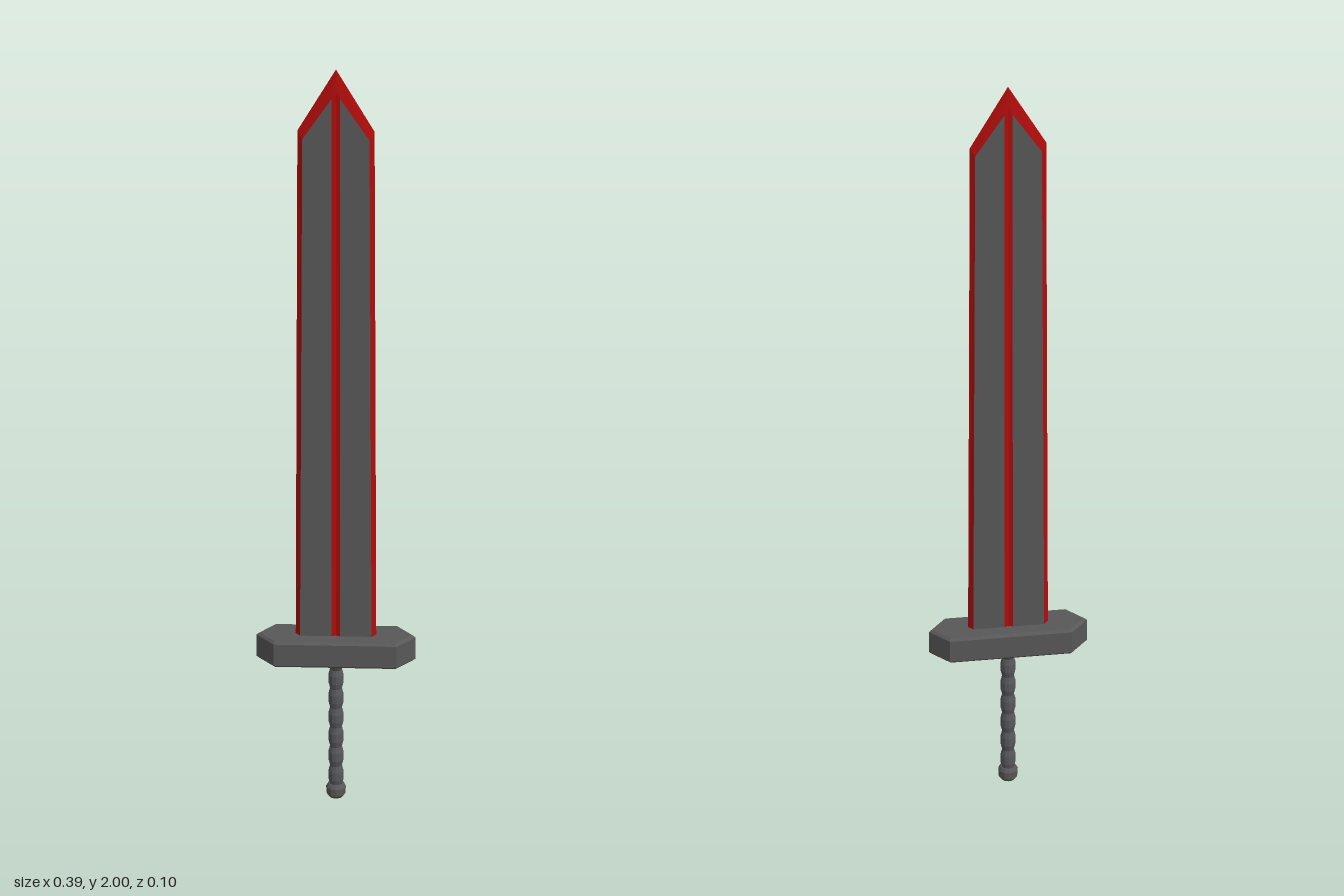
import * as THREE from 'three';

const steel = new THREE.MeshStandardMaterial({ color: 0x585858, flatShading: true });
const red = new THREE.MeshStandardMaterial({ color: 0xb00c0c, flatShading: true });

function part(name, geometry, material) {
  const mesh = new THREE.Mesh(geometry, material);
  mesh.name = name;
  return mesh;
}

// Mirrors the polygons of one blade quarter (+x, +z) into all four quarters
function mirrored(polygons) {
  const pos = [];
  for (const sx of [1, -1]) for (const sz of [1, -1]) {
    for (const poly of polygons) {
      const p = poly.map(([x, y, z]) => [x * sx, y, z * sz]);
      if (sx * sz < 0) p.reverse();
      for (let i = 1; i < p.length - 1; i++) pos.push(...p[0], ...p[i], ...p[i + 1]);
    }
  }
  const g = new THREE.BufferGeometry();
  g.setAttribute('position', new THREE.Float32BufferAttribute(pos, 3));
  g.computeVertexNormals();
  return g;
}

// Faceted turned shape from [radius, height] pairs
function turned(profile, sides) {
  return new THREE.LatheGeometry(profile.map(([r, y]) => new THREE.Vector2(r, y)), sides);
}

function createBlade() {
  const base = 0.43;
  const groove0 = [0, base, 0.009], groove1 = [0, 1.94, 0.007];
  const rim0 = [0.01, base, 0.013], rim1 = [0.01, 1.924, 0.009];
  const face0 = [0.087, base, 0.013], face1 = [0.082, 1.81, 0.009];
  const edge0 = [0.098, base, 0], edge1 = [0.094, 1.83, 0];
  const tip = [0, 2, 0];

  const blade = new THREE.Group();
  blade.name = 'blade';
  blade.add(
    part('bladeFaces', mirrored([[rim0, face0, face1, rim1]]), steel),
    part('bladeGroove', mirrored([[groove0, rim0, rim1, groove1]]), red),
    part('bladeEdges', mirrored([[face0, edge0, edge1, face1]]), red),
    part('bladeTip', mirrored([[tip, face1, edge1], [tip, rim1, face1], [tip, groove1, rim1]]), red)
  );
  return blade;
}

function createGuard() {
  // Long hexagon with chamfered rims, laid flat
  const b = 0.006;
  const shape = new THREE.Shape([
    [0.186, 0], [0.147, 0.045], [-0.147, 0.045], [-0.186, 0], [-0.147, -0.045], [0.147, -0.045],
  ].map(([x, y]) => new THREE.Vector2(x, y)));
  const g = new THREE.ExtrudeGeometry(shape, {
    depth: 0.07 - 2 * b, bevelEnabled: true, bevelThickness: b, bevelSize: b, bevelSegments: 1,
  });
  g.rotateX(-Math.PI / 2).translate(0, 0.375 + b, 0);
  return part('guard', g, steel);
}

function createGrip() {
  // Stacked ribs with narrow grooves between them
  const bottom = 0.032, ribs = 6, step = 0.053;
  const profile = [];
  for (let i = 0; i < ribs; i++) {
    const y = bottom + i * step;
    profile.push([0.0145, y], [0.0185, y + step * 0.3], [0.0185, y + step * 0.7]);
  }
  profile.push([0.0145, 0.35], [0.022, 0.365], [0.022, 0.38]);
  return part('grip', turned(profile, 12), steel);
}

function createPommel() {
  return part('pommel', turned([
    [0, 0], [0.017, 0], [0.023, 0.008], [0.024, 0.027], [0.019, 0.036], [0, 0.036],
  ], 12), steel);
}

export function createModel() {
  const sword = new THREE.Group();
  sword.name = 'sword';
  sword.add(createBlade(), createGuard(), createGrip(), createPommel());
  return sword;
}
